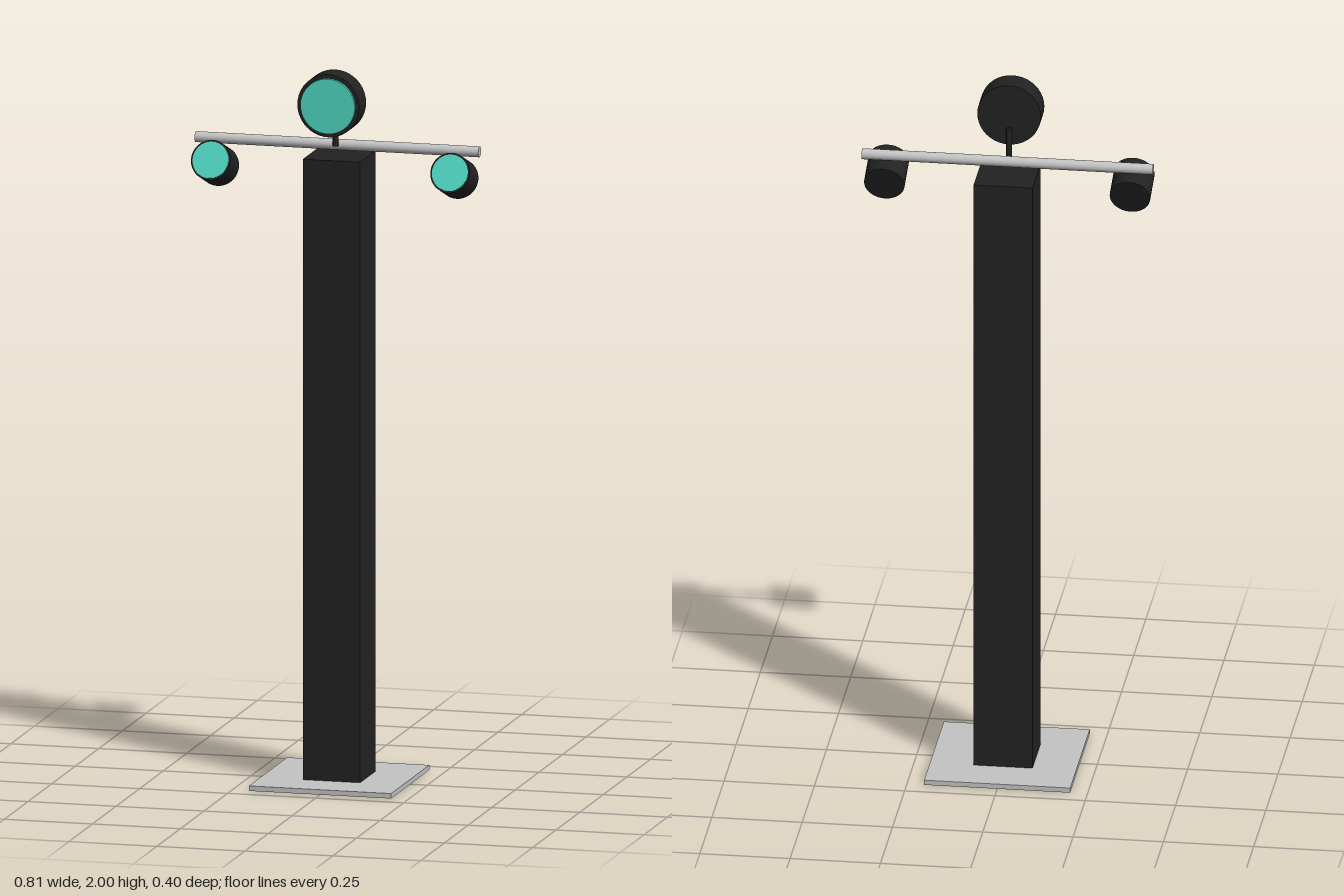
import * as THREE from 'three';

export function createModel() {
  const black = new THREE.MeshStandardMaterial({ color: 0x222222 });
  const silver = new THREE.MeshStandardMaterial({ color: 0xc4c4c4 });
  const teal = new THREE.MeshStandardMaterial({ color: 0x50d8c4 });
  black.name = 'matteBlack';
  silver.name = 'silver';
  teal.name = 'tealLens';

  const model = new THREE.Group();
  model.name = 'lightStand';

  function add(parent, name, geometry, material, x = 0, y = 0, z = 0) {
    const mesh = new THREE.Mesh(geometry, material);
    mesh.name = name;
    mesh.position.set(x, y, z);
    parent.add(mesh);
    return mesh;
  }

  // Round lamp pointing along +z, with its housing centred on the origin
  function lamp(name, radius, depth, lensRadius, lensDepth) {
    const group = new THREE.Group();
    group.name = name;
    const housing = new THREE.CylinderGeometry(radius, radius, depth, 40).rotateX(Math.PI / 2);
    const lens = new THREE.CylinderGeometry(lensRadius, lensRadius, lensDepth, 40).rotateX(Math.PI / 2);
    add(group, 'housing', housing, black);
    add(group, 'lens', lens, teal, 0, 0, depth / 2 + lensDepth / 2);
    model.add(group);
    return group;
  }

  // Base plate and square column
  add(model, 'basePlate', new THREE.BoxGeometry(0.404, 0.014, 0.404), silver, 0, 0.007, 0);
  add(model, 'column', new THREE.BoxGeometry(0.163, 1.738, 0.163), black, 0, 0.883, 0);

  // Crossbar just above the column
  const bar = new THREE.CylinderGeometry(0.015, 0.015, 0.806, 24).rotateZ(Math.PI / 2);
  add(model, 'crossbar', bar, silver, 0, 1.785, 0.015);

  // Upright lamp on its stem
  add(model, 'stem', new THREE.CylinderGeometry(0.008, 0.008, 0.09, 16), black, 0, 1.83, 0.039);
  lamp('topLamp', 0.088, 0.072, 0.077, 0.009).position.set(0, 1.912, 0.079);

  // Pair of lamps tilted upwards under the bar ends
  for (const side of [-1, 1]) {
    const spot = lamp(side > 0 ? 'leftLamp' : 'rightLamp', 0.056, 0.097, 0.051, 0.002);
    spot.position.set(side * 0.34, 1.721, 0.048);
    spot.rotation.x = -0.36;
  }

  return model;
}
